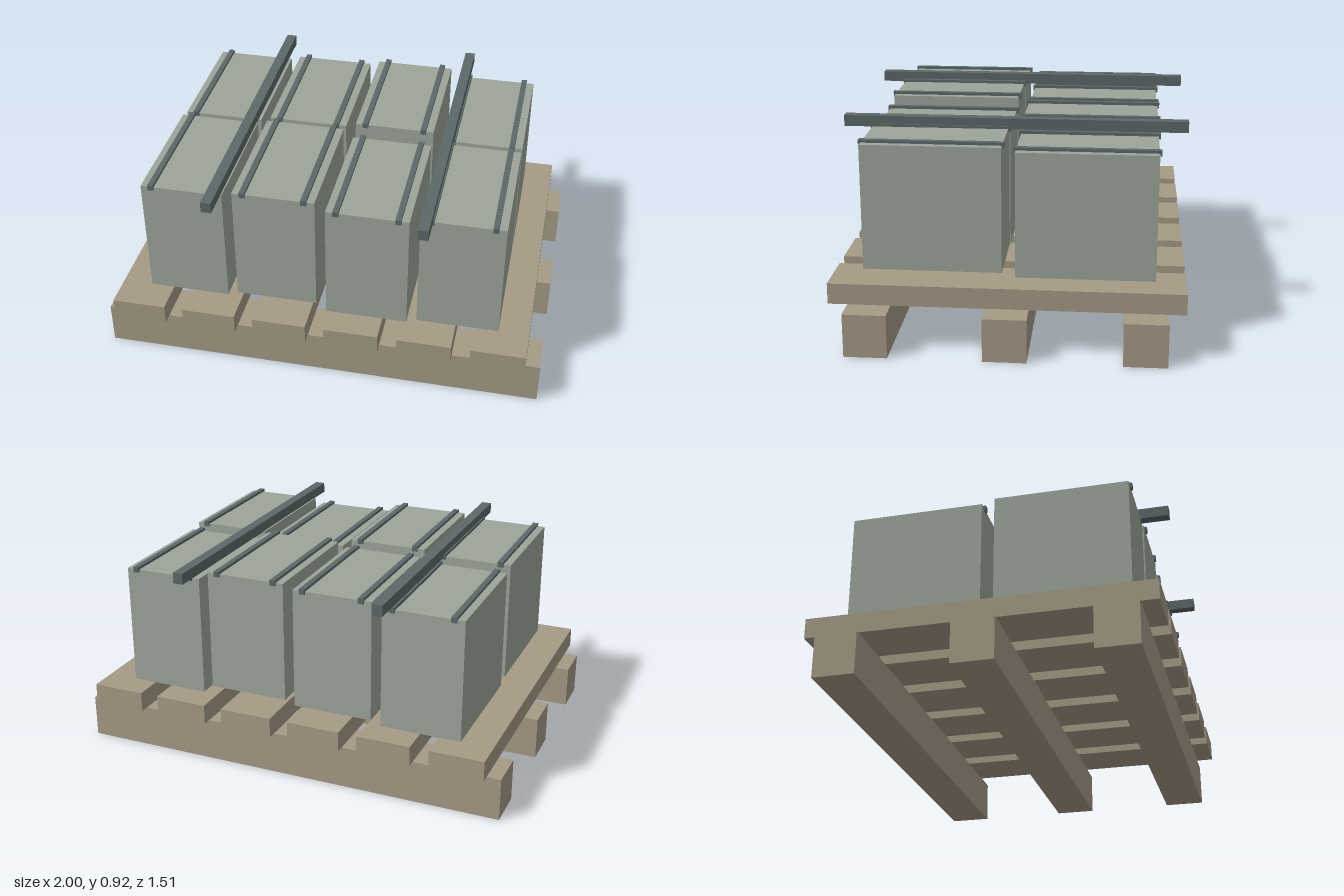
import * as THREE from 'three';

const material = (name, color) => {
  const m = new THREE.MeshStandardMaterial({ color });
  m.name = name;
  return m;
};

export function createModel() {
  const wood = material('palletWood', 0xa59a85);
  const shell = material('crateGreyGreen', 0x9ca59a);
  const steel = material('darkSteel', 0x5c6868);

  const model = new THREE.Group();
  model.name = 'loadedPallet';

  const box = (parent, name, mat, size, pos) => {
    const mesh = new THREE.Mesh(new THREE.BoxGeometry(...size), mat);
    mesh.name = name;
    mesh.position.set(...pos);
    parent.add(mesh);
  };

  // Pallet: three runners along x, six slats laid across them
  const pallet = new THREE.Group();
  pallet.name = 'pallet';
  model.add(pallet);
  for (const z of [-0.59, 0, 0.59]) box(pallet, 'runner', wood, [2, 0.193, 0.187], [0, 0.0965, z]);
  for (let i = 0; i < 6; i++) {
    box(pallet, 'slat', wood, [0.243, 0.091, 1.512], [-0.824 + i * 0.3275, 0.2585, 0]);
  }

  // Crates: two rows of four, lifted in a repeating three-step pattern
  const height = 0.553;
  for (let row = 0; row < 2; row++) {
    for (let col = 0; col < 4; col++) {
      const crate = new THREE.Group();
      crate.name = 'crate';
      const lift = ((row * 4 + col) % 3) * 0.019;
      crate.position.set(-0.618 + col * 0.4115, 0.304 + lift, row ? 0.328 : -0.328);
      box(crate, 'crateBody', shell, [0.366, height, 0.599], [0, height / 2, 0]);
      // Strips half sunk into the lid
      for (const side of [-1, 1]) {
        box(crate, 'lidStrip', steel, [0.025, 0.025, 0.617], [side * 0.136, height, 0]);
      }
      model.add(crate);
    }
  }

  // Long tie-down bars across both rows
  for (const x of [-0.464, 0.464]) box(model, 'tieBar', steel, [0.046, 0.049, 1.512], [x, 0.8985, 0]);

  return model;
}
